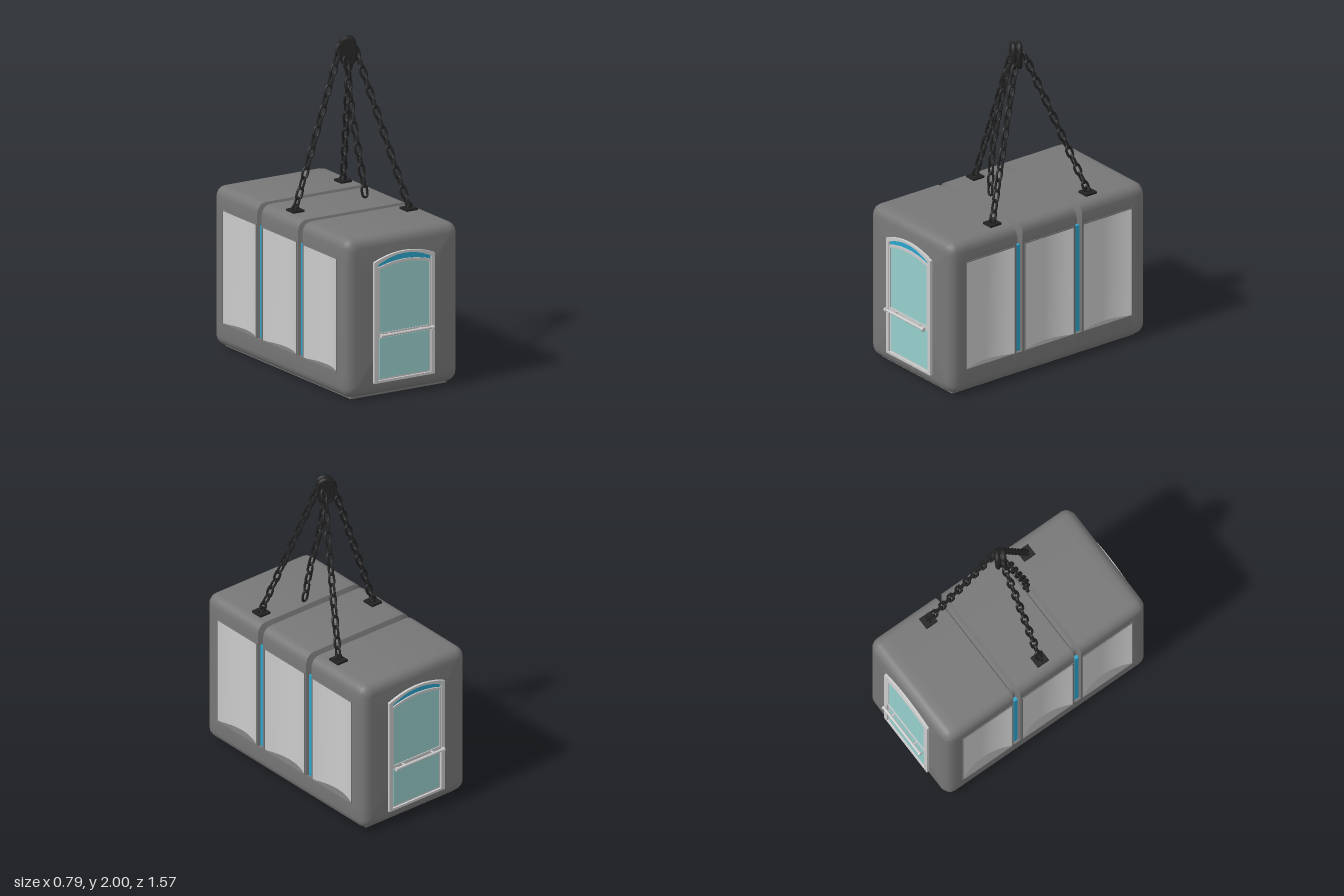
import * as THREE from 'three';
import { mergeGeometries, toCreasedNormals } from 'three/addons/utils/BufferGeometryUtils.js';

const mat = (color, side = THREE.FrontSide) => new THREE.MeshStandardMaterial({ color, side });
const BODY = mat(0x777777), GREY = mat(0xcccccc), PANEL = mat(0xcccccc, THREE.DoubleSide);
const BLUE = mat(0x2ba5cc), GLASS = mat(0x97cfcc), IRON = mat(0x222222);

const W = 0.393, B = 0.012, T = 0.985, L = 0.732, R = 0.06;   // cabin half width, bottom, top, half length, edge radius
const Y0 = 0.16, Y1 = 0.855;                                  // side panel bottom and top
const DENT = 0.045, GROOVE = 0.035, GZ = 0.222, STEPS = 12;
const PANELS = [[-0.437, 0.182], [0, 0.185], [0.437, 0.182]]; // centre z, half width

function add(parent, name, geo, material, x = 0, y = 0, z = 0) {
  const m = new THREE.Mesh(geo, material);
  m.name = name;
  m.position.set(x, y, z);
  parent.add(m);
  return m;
}

// Cross-section of the cabin: e insets all round, g cuts the groove, d scoops the side
function section(z, e, g, d) {
  const w = W - e, b = B + e, wt = w - g, t = T - e - g, r = R - 0.6 * e, half = [[0, b]];
  for (let i = 0; i <= 4; i++) {
    const a = (i / 4) * Math.PI / 2;
    half.push([w - r + r * Math.sin(a), b + r - r * Math.cos(a)]);
  }
  half.push([w, Y0], [wt - d, Y0], [wt - d, Y1], [wt, Y1]);
  for (let i = 0; i <= 4; i++) {
    const a = (i / 4) * Math.PI / 2;
    half.push([wt - r + r * Math.cos(a), t - r + r * Math.sin(a)]);
  }
  half.push([0, t]);
  const left = half.slice(1, -1).reverse().map(([x, y]) => [-x, y]);
  return [...half, ...left].map(([x, y]) => new THREE.Vector3(x, y, z));
}

function bodyGeometry() {
  const rings = [];
  const end = (s, i) => {
    const a = (i / 4) * Math.PI / 2;
    rings.push([s * (L - R + R * Math.sin(a)), R * (1 - Math.cos(a)), 0, 0]);
  };
  for (let i = 0; i <= 4; i++) { end(-1, i); end(1, i); }
  for (const s of [-1, 1])
    for (const [o, g] of [[-0.024, 0], [-0.012, GROOVE], [0.012, GROOVE], [0.024, 0]]) rings.push([s * GZ + o, 0, g, 0]);
  for (const [c, h] of PANELS)
    for (let i = 0; i <= STEPS; i++) {
      const t = (2 * i) / STEPS - 1;
      rings.push([c + t * h, 0, 0, DENT * (1 - t * t)]);
    }
  rings.sort((p, q) => p[0] - q[0]);
  const loops = rings.map((r) => section(...r)), n = loops[0].length, pos = [];
  const tri = (a, b, c) => {
    const area = b.clone().sub(a).cross(c.clone().sub(a)).length();
    if (area > 1e-9) for (const p of [a, b, c]) pos.push(p.x, p.y, p.z);
  };
  for (let k = 0; k < loops.length - 1; k++)
    for (let i = 0; i < n; i++) {
      const j = (i + 1) % n, p = loops[k], q = loops[k + 1];
      tri(p[i], p[j], q[j]);
      tri(p[i], q[j], q[i]);
    }
  const first = loops[0], last = loops[loops.length - 1];
  const c0 = new THREE.Vector3(0, 0.5, -L), c1 = new THREE.Vector3(0, 0.5, L);
  for (let i = 0; i < n; i++) {
    const j = (i + 1) % n;
    tri(c0, first[j], first[i]);
    tri(c1, last[i], last[j]);
  }
  const geo = new THREE.BufferGeometry();
  geo.setAttribute('position', new THREE.Float32BufferAttribute(pos, 3));
  return toCreasedNormals(geo, 0.5);
}

// Scooped panels, their rims and the blue strips on one side
function cabinSide() {
  const g = new THREE.Group(), yc = (Y0 + Y1) / 2, h = Y1 - Y0;
  g.name = 'cabinSide';
  for (const [c, hw] of PANELS) {
    const geo = new THREE.PlaneGeometry(2 * hw, h, STEPS, 1).rotateY(Math.PI / 2), p = geo.attributes.position;
    for (let i = 0; i < p.count; i++) {
      const t = p.getZ(i) / hw;
      p.setX(i, W + 0.002 - DENT * (1 - t * t));
    }
    geo.computeVertexNormals();
    add(g, 'sidePanel', geo, PANEL, 0, yc, c);
    for (const s of [-1, 1]) {
      add(g, 'panelRim', new THREE.BoxGeometry(0.008, h, 0.006), BODY, W, yc, c + s * hw);
      add(g, 'panelRim', new THREE.BoxGeometry(0.008, 0.006, 2 * hw), BODY, W, yc + s * h / 2, c);
    }
  }
  for (const s of [-1, 1]) add(g, 'blueStrip', new THREE.BoxGeometry(0.03, h - 0.01, 0.028), BLUE, W - 0.027, yc, s * GZ);
  return g;
}

// Rectangle with a bowed top
function arch(w, y0, y1, top, Type = THREE.Shape) {
  const s = new Type();
  s.moveTo(-w, y0);
  s.lineTo(w, y0);
  s.lineTo(w, y1);
  s.quadraticCurveTo(0, 2 * top - y1, -w, y1);
  s.lineTo(-w, y0);
  return s;
}

function door() {
  const g = new THREE.Group();
  g.name = 'door';
  const plate = (name, material, front, outer, hole) => {
    const s = arch(...outer);
    if (hole) s.holes.push(arch(...hole, THREE.Path));
    const geo = new THREE.ExtrudeGeometry(s, { depth: 0.03, bevelEnabled: false, curveSegments: 12 });
    add(g, name, geo, material, 0, 0, front - 0.03);
  };
  plate('doorFrame', GREY, 0.748, [0.212, 0.09, 0.832, 0.876], [0.186, 0.105, 0.815, 0.862]);
  plate('topLight', BLUE, 0.737, [0.19, 0.76, 0.82, 0.866]);
  plate('lowerDoor', GREY, 0.736, [0.188, 0.1, 0.375, 0.375]);
  plate('upperSash', GREY, 0.745, [0.187, 0.375, 0.795, 0.825], [0.174, 0.395, 0.782, 0.808]);
  plate('upperGlass', GLASS, 0.74, [0.178, 0.39, 0.785, 0.812]);
  plate('lowerGlass', GLASS, 0.739, [0.174, 0.115, 0.362, 0.362]);
  // Push rail on two posts
  const rail = new THREE.CylinderGeometry(0.009, 0.009, 0.36, 12).rotateZ(Math.PI / 2);
  add(g, 'railBar', rail, GREY, 0, 0.385, 0.774);
  for (const s of [-1, 1]) {
    const knob = new THREE.CylinderGeometry(0.013, 0.013, 0.014, 12).rotateZ(Math.PI / 2);
    add(g, 'railEnd', knob, GREY, s * 0.178, 0.385, 0.774);
    const post = new THREE.CylinderGeometry(0.006, 0.006, 0.035, 8).rotateX(Math.PI / 2);
    add(g, 'railPost', post, GREY, s * 0.11, 0.385, 0.757);
  }
  return g;
}

// One chain link: rounded loop standing along y
function linkGeometry(w, h, r) {
  const pts = [];
  for (const s of [1, -1])
    for (let i = 0; i <= 4; i++) {
      const a = (i / 4) * Math.PI;
      pts.push(new THREE.Vector3(s * w * Math.cos(a), s * (h - w + w * Math.sin(a)), 0));
    }
  return new THREE.TubeGeometry(new THREE.CatmullRomCurve3(pts, true), 24, r, 6, true);
}

function chain(name, points) {
  const curve = new THREE.CatmullRomCurve3(points.map((p) => new THREE.Vector3(...p)));
  const count = Math.round(curve.getLength() / 0.064), base = linkGeometry(0.017, 0.036, 0.0075), parts = [];
  const up = new THREE.Vector3(0, 1, 0), one = new THREE.Vector3(1, 1, 1);
  for (let i = 0; i < count; i++) {
    const u = (i + 0.5) / count;
    const q = new THREE.Quaternion().setFromUnitVectors(up, curve.getTangentAt(u).negate());
    q.multiply(new THREE.Quaternion().setFromAxisAngle(up, (i % 2) * Math.PI / 2));
    parts.push(base.clone().applyMatrix4(new THREE.Matrix4().compose(curve.getPointAt(u), q, one)));
  }
  const m = new THREE.Mesh(mergeGeometries(parts), IRON);
  m.name = name;
  return m;
}

export function createModel() {
  const model = new THREE.Group();
  model.name = 'hangingCabin';
  add(model, 'cabinBody', bodyGeometry(), BODY);
  add(model, 'basePlate', new THREE.BoxGeometry(0.67, 0.02, 1.36), BODY, 0, 0.01, 0);
  for (const turn of [0, Math.PI]) {
    const side = cabinSide(), d = door();
    side.rotation.y = d.rotation.y = turn;
    model.add(side, d);
  }

  // Lifting shackle
  const hub = new THREE.Group();
  hub.name = 'shackle';
  hub.position.set(0.08, 1.91, 0.003);
  hub.rotation.y = -0.5;
  const core = new THREE.Shape();
  core.absarc(0, 0.04, 0.036, 0, Math.PI);
  core.absarc(0, -0.05, 0.036, Math.PI, 2 * Math.PI);
  const coreGeo = new THREE.ExtrudeGeometry(core, { depth: 0.06, bevelEnabled: false, curveSegments: 8 });
  add(hub, 'shackleCore', coreGeo, IRON, 0, 0, -0.03);
  for (const z of [-0.018, 0.018]) add(hub, 'shackleRing', linkGeometry(0.04, 0.075, 0.015), IRON, 0, 0, z);
  model.add(hub);

  // Three lifting chains with roof anchors
  for (const [top, foot] of [
    [[0.04, 1.95, -0.01], [-0.295, 1.0, 0.015]],
    [[0.115, 1.93, -0.025], [0.288, 1.0, -0.37]],
    [[0.115, 1.93, 0.025], [0.288, 1.0, 0.343]],
  ]) {
    model.add(chain('liftingChain', [top, foot]));
    add(model, 'roofAnchor', new THREE.BoxGeometry(0.076, 0.02, 0.08), IRON, foot[0], 0.988, foot[2]);
    add(model, 'anchorEye', new THREE.TorusGeometry(0.02, 0.008, 6, 14), IRON, foot[0], 1.005, foot[2]);
  }
  // Loose chain hanging from the shackle
  model.add(chain('looseChain', [[0.05, 1.88, 0.03], [0.045, 1.55, 0.105], [0.057, 1.3, 0.165], [0.08, 1.06, 0.195]]));
  return model;
}
